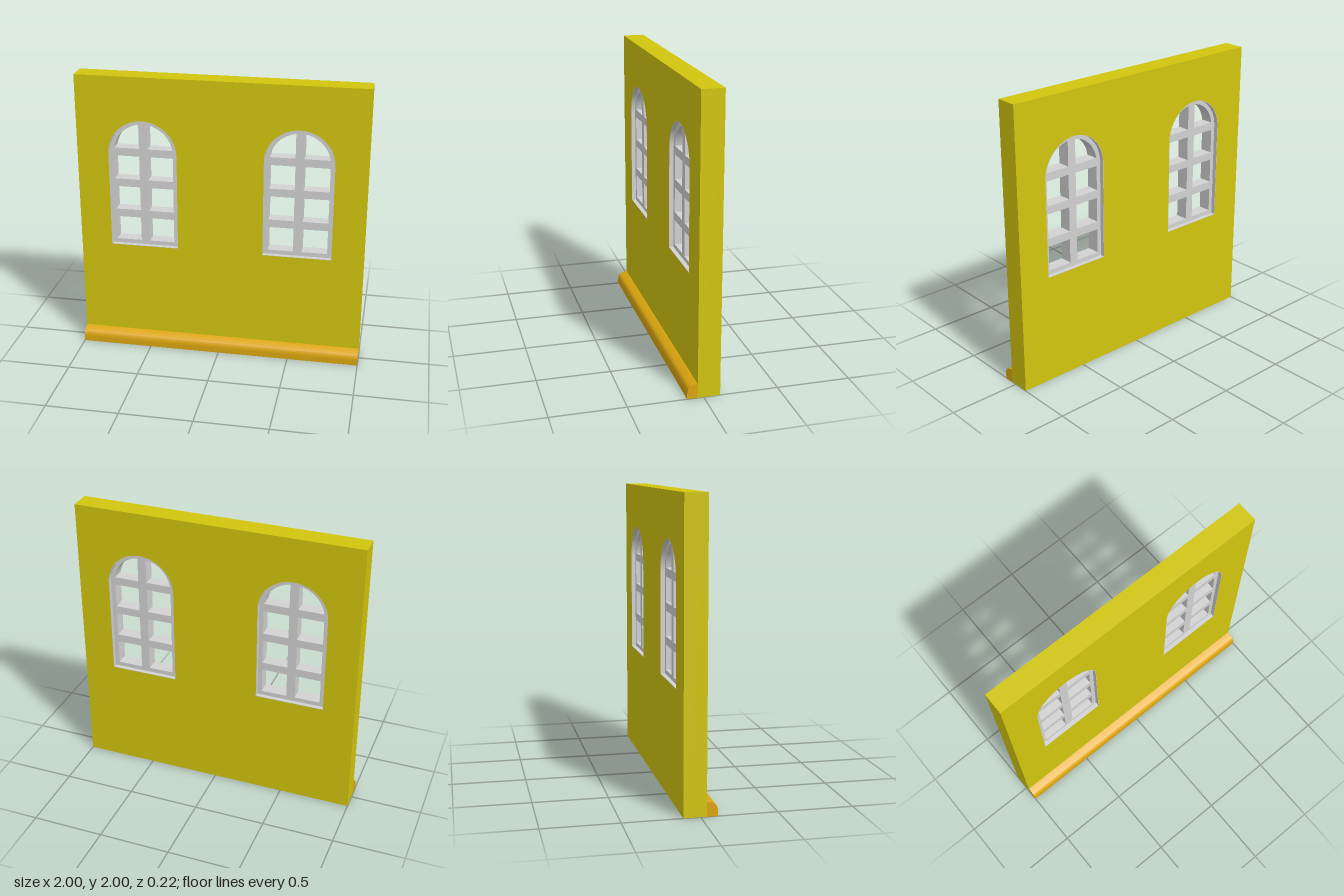
import * as THREE from 'three';
import { toCreasedNormals } from 'three/addons/utils/BufferGeometryUtils.js';

const BACK = -0.11, FRONT = 0.04;         // wall faces
const SILL = 0.77, SPRING = 1.455, R = 0.24; // window opening

// Round-topped outline, inset from the window opening
function archOutline(target, cx, inset) {
  const r = R - inset, bottom = SILL + inset;
  target.moveTo(cx - r, bottom);
  target.lineTo(cx + r, bottom);
  target.lineTo(cx + r, SPRING);
  target.absarc(cx, SPRING, r, 0, Math.PI, false);
  target.lineTo(cx - r, bottom);
  return target;
}

function extrude(shape, z0, z1) {
  const geo = new THREE.ExtrudeGeometry(shape, { depth: z1 - z0, bevelEnabled: false, curveSegments: 32 });
  geo.translate(0, 0, z0);
  return toCreasedNormals(geo, 0.5);
}

function archRing(outer, inner, z0, z1) {
  const shape = archOutline(new THREE.Shape(), 0, outer);
  shape.holes.push(archOutline(new THREE.Path(), 0, inner));
  return extrude(shape, z0, z1);
}

export function createModel() {
  const wallMat = new THREE.MeshStandardMaterial({ name: 'yellow plaster', color: 0xd2c50e });
  const frameMat = new THREE.MeshStandardMaterial({ name: 'light grey frame', color: 0xd2d2d2 });
  const skirtMat = new THREE.MeshStandardMaterial({ name: 'orange skirting', color: 0xdca60f });

  const model = new THREE.Group();
  model.name = 'windowWall';
  const add = (parent, name, geo, mat) => {
    const mesh = new THREE.Mesh(geo, mat);
    mesh.name = name;
    parent.add(mesh);
    return mesh;
  };

  // Wall slab with two arched openings
  const slab = new THREE.Shape();
  slab.moveTo(-1, 0).lineTo(1, 0).lineTo(1, 2).lineTo(-1, 2).lineTo(-1, 0);
  for (const s of [-1, 1]) slab.holes.push(archOutline(new THREE.Path(), s * 0.54, 0));
  add(model, 'wall', extrude(slab, BACK, FRONT), wallMat);

  // Windows: grey reveal lining, recessed frame and glazing bars
  const z0 = BACK + 0.03, z1 = FRONT - 0.03, depth = z1 - z0, mid = (z0 + z1) / 2;
  for (const [side, s] of [['right', -1], ['left', 1]]) {
    const win = new THREE.Group();
    win.name = side + 'Window';
    win.position.x = s * 0.54;
    model.add(win);
    add(win, 'revealLining', archRing(0, 0.003, BACK, FRONT), frameMat);
    add(win, 'frame', archRing(0.002, 0.033, z0, z1), frameMat);

    const bottom = SILL + 0.02, top = SPRING + R - 0.02;
    add(win, 'mullion', new THREE.BoxGeometry(0.06, top - bottom, depth), frameMat)
      .position.set(0, (top + bottom) / 2, mid);
    for (const y of [1.003, 1.231, 1.458]) {
      for (const k of [-1, 1]) {
        add(win, 'glazingBar', new THREE.BoxGeometry(0.19, 0.056, depth), frameMat)
          .position.set(k * 0.125, y, mid);
      }
    }
  }

  // Skirting along the foot of the front: sloped top and rounded nose
  const profile = new THREE.Shape();
  profile.moveTo(-FRONT, 0);
  profile.lineTo(-FRONT, 0.098);
  profile.lineTo(-0.085, 0.085);
  profile.quadraticCurveTo(-0.11, 0.072, -0.11, 0.035);
  profile.lineTo(-0.11, 0);
  profile.lineTo(-FRONT, 0);
  const skirting = extrude(profile, -1, 1);
  skirting.rotateY(Math.PI / 2);
  add(model, 'skirting', skirting, skirtMat);

  return model;
}
